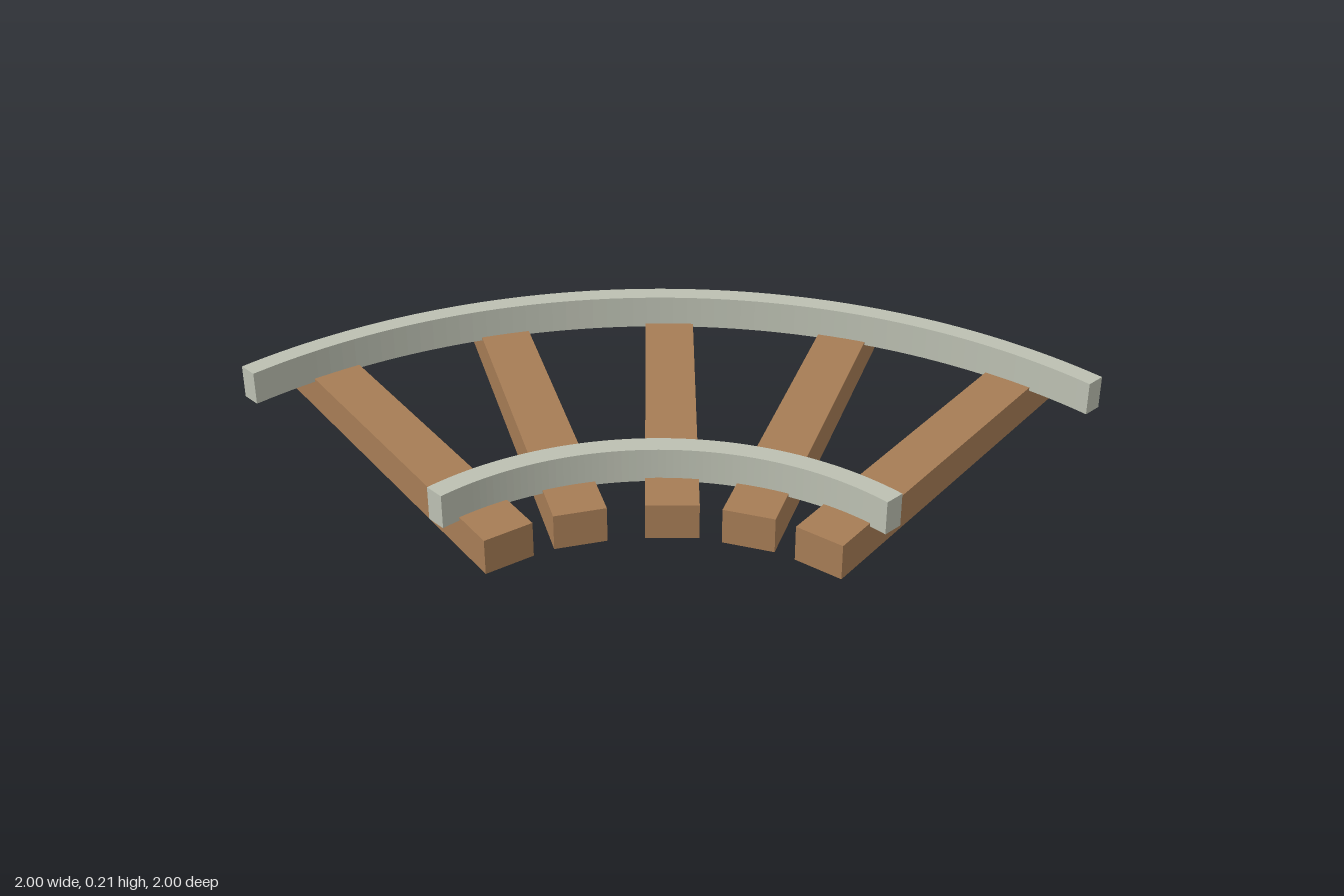
import * as THREE from 'three';

const CENTRE = 1; // the curve turns about x = 1, z = 1
const rad = THREE.MathUtils.degToRad;

// Quarter-circle rail of rectangular section
function makeRail(name, inner, outer, material) {
  const shape = new THREE.Shape();
  shape.absarc(0, 0, outer, Math.PI, Math.PI * 1.5, false);
  shape.absarc(0, 0, inner, Math.PI * 1.5, Math.PI, true);
  const geometry = new THREE.ExtrudeGeometry(shape, {
    depth: 0.107, bevelEnabled: false, curveSegments: 32,
  });
  geometry.rotateX(Math.PI / 2);
  const rail = new THREE.Mesh(geometry, material);
  rail.name = name;
  rail.position.set(CENTRE, 0.208, CENTRE);
  return rail;
}

export function createModel() {
  const model = new THREE.Group();
  model.name = 'curvedTrack';
  const wood = new THREE.MeshStandardMaterial({ color: 0xa67c55 });
  const metal = new THREE.MeshStandardMaterial({ color: 0xbcc0b2 });

  // Sleepers: evenly spaced round the curve, each turned slightly off radial
  const sleeper = new THREE.BoxGeometry(0.156, 0.112, 1.286);
  const turns = [9.4, 28.2, 46.9, 61.8, 80.7];
  turns.forEach((turn, i) => {
    const a = rad(9 + 18 * i);
    const mesh = new THREE.Mesh(sleeper, wood);
    mesh.name = `sleeper${i + 1}`;
    mesh.position.set(CENTRE - 1.372 * Math.sin(a), 0.056, CENTRE - 1.372 * Math.cos(a));
    mesh.rotation.y = rad(turn);
    model.add(mesh);
  });

  // Rails
  model.add(makeRail('outerRail', 1.805, 1.868, metal));
  model.add(makeRail('innerRail', 0.873, 0.936, metal));
  return model;
}
